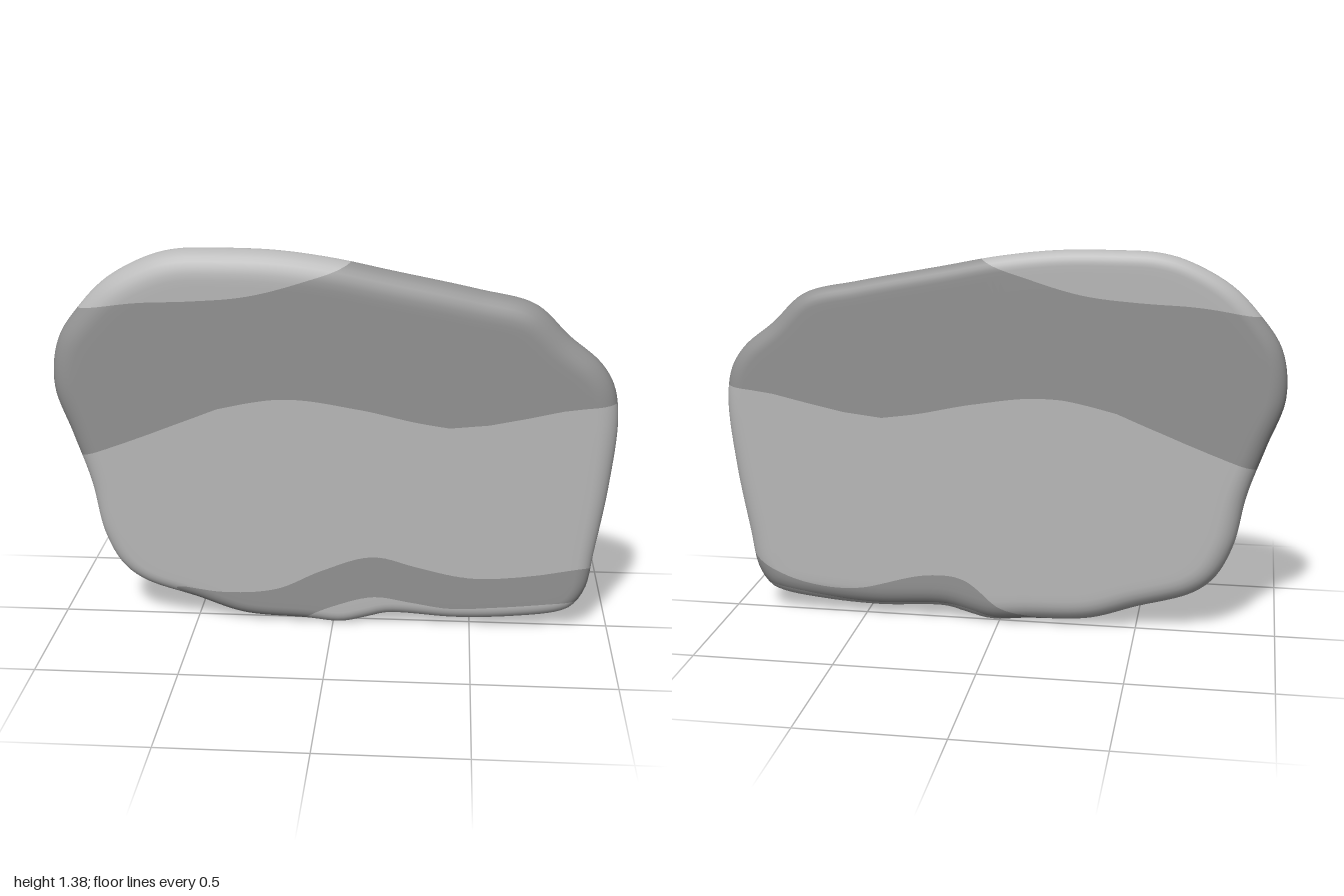
import * as THREE from 'three';

// Silhouette of the slab, clockwise from the upper left
const OUTLINE = [
  [-0.65, 1.35], [-0.55, 1.375], [-0.4, 1.38], [-0.2, 1.375], [0, 1.35], [0.2, 1.31], [0.5, 1.25],
  [0.7, 1.2], [0.82, 1.09], [0.93, 1.0], [0.98, 0.92], [1, 0.8], [0.98, 0.55], [0.94, 0.3],
  [0.915, 0.16], [0.87, 0.09], [0.82, 0.065], [0.65, 0.04], [0.45, 0.03], [0.2, 0.04], [0.12, 0.02],
  [0.03, 0], [-0.1, 0.01], [-0.33, 0.025], [-0.5, 0.08], [-0.7, 0.145], [-0.78, 0.21], [-0.84, 0.33],
  [-0.88, 0.52], [-0.94, 0.7], [-1, 0.88], [-0.98, 1.05], [-0.9, 1.17], [-0.8, 1.27],
];
const HALF = 0.057, HEIGHT = 1.38, SEGMENTS = 220;

// Smooth height curve y(x) through a few points
function heightCurve(points) {
  const spline = new THREE.CubicInterpolant(
    points.map((p) => p[0]), points.map((p) => p[1]), 1, new Float32Array(1));
  return (x) => spline.evaluate(x)[0];
}

// Lower edges of the colour layers, front face and back face
const topEdge = heightCurve([[-1, 1.15], [-0.9, 1.165], [-0.7, 1.195], [-0.5, 1.205], [-0.3, 1.225],
  [-0.1, 1.28], [0.06, 1.34], [0.2, 1.45]]);
const middleEdge = heightCurve([[-1, 0.6], [-0.88, 0.635], [-0.6, 0.74], [-0.4, 0.82], [-0.17, 0.858],
  [0.1, 0.825], [0.42, 0.765], [0.65, 0.8], [0.8, 0.835], [1, 0.86]]);
const lowerFront = heightCurve([[-1, 0.1], [-0.75, 0.14], [-0.6, 0.14], [-0.4, 0.115], [-0.2, 0.135],
  [-0.04, 0.21], [0.15, 0.27], [0.3, 0.235], [0.5, 0.195], [0.7, 0.21], [0.92, 0.25], [1, 0.26]]);
const lowerBack = heightCurve([[-1, -0.1], [-0.15, -0.03], [-0.02, 0.05], [0.12, 0.165], [0.24, 0.18],
  [0.55, 0.11], [0.72, 0.125], [0.92, 0.2], [1, 0.22]]);
const baseFront = heightCurve([[-1, -0.2], [-0.2, -0.03], [-0.1, 0.025], [0, 0.07], [0.15, 0.112],
  [0.28, 0.095], [0.42, 0.075], [0.6, 0.085], [0.9, 0.115], [1, 0.12]]);
const baseBack = heightCurve([[-1, -0.2], [-0.05, -0.02], [0.15, 0.05], [0.5, 0.05], [0.9, 0.11], [1, 0.12]]);

const blend = (front, back) => (x, z) =>
  THREE.MathUtils.lerp(back(x), front(x), THREE.MathUtils.clamp(0.5 + z / (2 * HALF), 0, 1));
const EDGES = [blend(topEdge, topEdge), blend(middleEdge, middleEdge),
  blend(lowerFront, lowerBack), blend(baseFront, baseBack)];

// Rounded slab: rings run from the front centre over the rim to the back centre
function slabGeometry() {
  const curve = new THREE.CatmullRomCurve3(
    OUTLINE.map(([x, y]) => new THREE.Vector3(x, y, 0)).reverse(), true, 'centripetal');
  const rim = curve.getSpacedPoints(SEGMENTS).slice(0, SEGMENTS);
  const rings = [];
  const face = [0, 0.15, 0.3, 0.45, 0.6, 0.75, 0.88, 0.96];
  const steps = 7;
  face.forEach((s) => rings.push([s, 0]));
  for (let i = 0; i <= 2 * steps; i++) rings.push([1, (i / steps) * Math.PI / 2]);
  face.slice().reverse().forEach((s) => rings.push([s, Math.PI]));

  const positions = [], index = [];
  for (const [scale, angle] of rings) {
    rim.forEach((p, i) => {
      const a = rim[(i + SEGMENTS - 2) % SEGMENTS], b = rim[(i + 2) % SEGMENTS];
      const out = new THREE.Vector2(b.y - a.y, a.x - b.x).normalize();
      const t = p.y / HEIGHT, isFront = angle <= Math.PI / 2;
      const radius = isFront ? 0.045 + 0.055 * t : 0.09 - 0.04 * t;
      const inset = radius * (1 - Math.sin(angle));
      const apex = 0.022 - 0.04 * t;
      const z = apex + Math.cos(angle) * (isFront ? HALF - apex : HALF + apex);
      positions.push((p.x - out.x * inset) * scale, 0.69 + (p.y - out.y * inset - 0.69) * scale, z);
    });
  }
  for (let j = 0; j < rings.length - 1; j++) {
    for (let i = 0; i < SEGMENTS; i++) {
      const n = (i + 1) % SEGMENTS;
      const a = j * SEGMENTS + i, d = j * SEGMENTS + n, b = a + SEGMENTS, c = d + SEGMENTS;
      if (j < rings.length - 2) index.push(a, b, c);
      else index.push(a, b, d);
      if (j > 0 && j < rings.length - 2) index.push(a, c, d);
    }
  }
  const geometry = new THREE.BufferGeometry();
  geometry.setAttribute('position', new THREE.Float32BufferAttribute(positions, 3));
  geometry.setIndex(index);
  geometry.computeVertexNormals();
  return geometry;
}

// Cut a polygon along a layer edge into the pieces above and below it
function cut(polygon, edge) {
  const above = [], below = [];
  const side = polygon.map((v) => v.p.y - edge(v.p.x, v.p.z));
  polygon.forEach((v, i) => {
    const k = (i + 1) % polygon.length, w = polygon[k];
    (side[i] >= 0 ? above : below).push(v);
    if ((side[i] >= 0) !== (side[k] >= 0)) {
      const t = side[i] / (side[i] - side[k]);
      const m = { p: v.p.clone().lerp(w.p, t), n: v.n.clone().lerp(w.n, t).normalize() };
      above.push(m);
      below.push(m);
    }
  });
  return [above, below];
}

// Divide the slab into its colour layers, from top to bottom
function splitLayers(geometry) {
  const layers = Array.from({ length: EDGES.length + 1 }, () => ({ position: [], normal: [] }));
  const { position, normal } = geometry.attributes;
  const add = (layer, polygon) => {
    for (let i = 1; i < polygon.length - 1; i++) {
      for (const v of [polygon[0], polygon[i], polygon[i + 1]]) {
        layer.position.push(v.p.x, v.p.y, v.p.z);
        layer.normal.push(v.n.x, v.n.y, v.n.z);
      }
    }
  };
  const ids = geometry.index.array;
  for (let f = 0; f < ids.length; f += 3) {
    let rest = [0, 1, 2].map((k) => ({
      p: new THREE.Vector3().fromBufferAttribute(position, ids[f + k]),
      n: new THREE.Vector3().fromBufferAttribute(normal, ids[f + k]),
    }));
    EDGES.forEach((edge, k) => {
      const [above, below] = cut(rest, edge);
      add(layers[k], above);
      rest = below;
    });
    add(layers[EDGES.length], rest);
  }
  return layers.map((layer) => {
    const part = new THREE.BufferGeometry();
    part.setAttribute('position', new THREE.Float32BufferAttribute(layer.position, 3));
    part.setAttribute('normal', new THREE.Float32BufferAttribute(layer.normal, 3));
    return part;
  });
}

export function createModel() {
  const model = new THREE.Group();
  model.name = 'layeredStoneSlab';
  const light = new THREE.MeshStandardMaterial({ color: 0xb8b8b8 });
  light.name = 'lightGrey';
  const dark = new THREE.MeshStandardMaterial({ color: 0x929292 });
  dark.name = 'darkGrey';

  const names = ['topLightLayer', 'upperDarkLayer', 'middleLightLayer', 'lowerDarkLayer', 'baseLightLayer'];
  splitLayers(slabGeometry()).forEach((geometry, i) => {
    const mesh = new THREE.Mesh(geometry, i % 2 ? dark : light);
    mesh.name = names[i];
    model.add(mesh);
  });
  return model;
}
